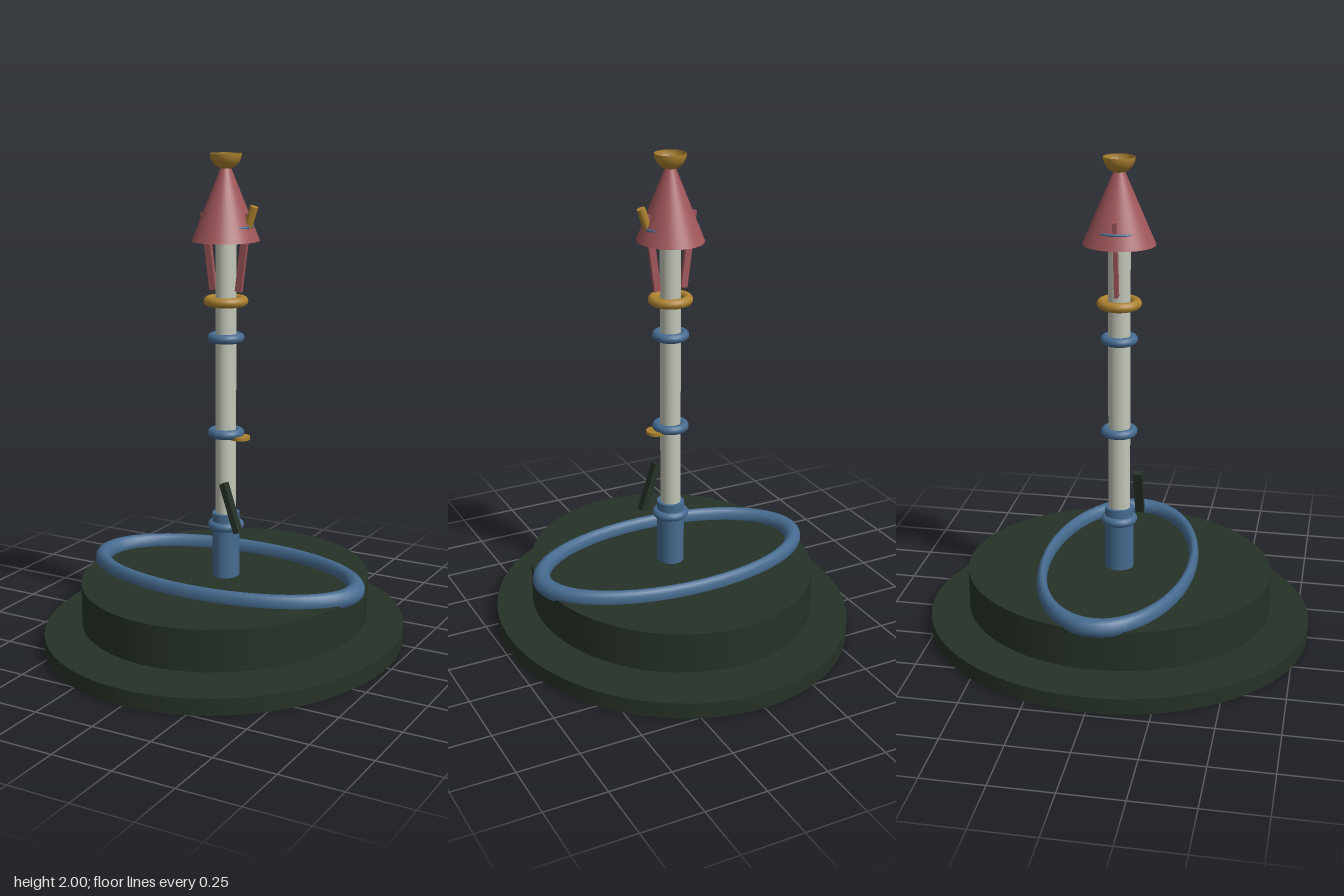
import * as THREE from 'three';

const mat = (name, color, side = THREE.FrontSide) => {
  const m = new THREE.MeshStandardMaterial({ color, side });
  m.name = name;
  return m;
};

export function createModel() {
  const group = new THREE.Group();
  const dark = mat('dark green', 0x263227);
  const blue = mat('steel blue', 0x466b90);
  const red = mat('faded red', 0xa0565a);
  const gold = mat('old gold', 0xab812f, THREE.DoubleSide);
  const ivory = mat('pale grey', 0xc2c6b8);
  const DEPTH = 1.1; // round solids are slightly deeper than wide

  const add = (name, geometry, material, x, y, z, tilt = 0) => {
    const mesh = new THREE.Mesh(geometry, material);
    mesh.name = name;
    mesh.position.set(x, y, z);
    mesh.rotation.z = tilt;
    group.add(mesh);
    return mesh;
  };
  // upright oval cylinder or cone between two heights
  const column = (name, rTop, rBottom, y0, y1, material, sides = 48) =>
    add(name, new THREE.CylinderGeometry(rTop, rBottom, y1 - y0, sides).scale(1, 1, DEPTH),
      material, 0, (y0 + y1) / 2, 0);
  // horizontal ring
  const ring = (name, outer, tube, y, material, depth = 1) =>
    add(name, new THREE.TorusGeometry(outer - tube, tube, 14, 48).rotateX(Math.PI / 2).scale(1, 1, depth),
      material, 0, y, 0);

  // base
  column('basePlate', 0.73, 0.73, 0, 0.067, dark, 96);
  column('baseDrum', 0.58, 0.58, 0.1, 0.27, dark, 96);
  ring('ovalRing', 0.614, 0.038, 0.282, blue, 0.535);

  // shaft and its bands
  column('collar', 0.055, 0.055, 0.265, 0.54, blue);
  column('shaft', 0.041, 0.041, 0.27, 1.75, ivory);
  for (const y of [0.487, 0.878, 1.27]) ring('blueBand', 0.075, 0.019, y, blue);
  ring('goldBand', 0.09, 0.02, 1.418, gold);

  // small fittings on the shaft
  add('goldTab', new THREE.CylinderGeometry(0.04, 0.04, 0.014, 24), gold, 0.066, 0.863, 0);
  add('leaningSlat', new THREE.BoxGeometry(0.025, 0.21, 0.036), dark, 0.063, 0.584, 0.072, 0.32);

  // pointed cap with struts
  column('cap', 0, 0.132, 1.658, 1.995, red, 64);
  ring('capBand', 0.113, 0.006, 1.715, blue);
  for (const side of [-1, 1])
    add('strut', new THREE.BoxGeometry(0.028, 0.31, 0.016), red, side * 0.078, 1.613, 0, -side * 0.13);
  add('capPeg', new THREE.CylinderGeometry(0.017, 0.017, 0.1, 20), gold, 0.11, 1.75, 0, -0.33);

  // open bowl at the tip
  add('finialBowl', new THREE.SphereGeometry(0.063, 32, 12, 0, Math.PI * 2, Math.PI / 2, Math.PI / 2),
    gold, 0, 2, 0);

  return group;
}
